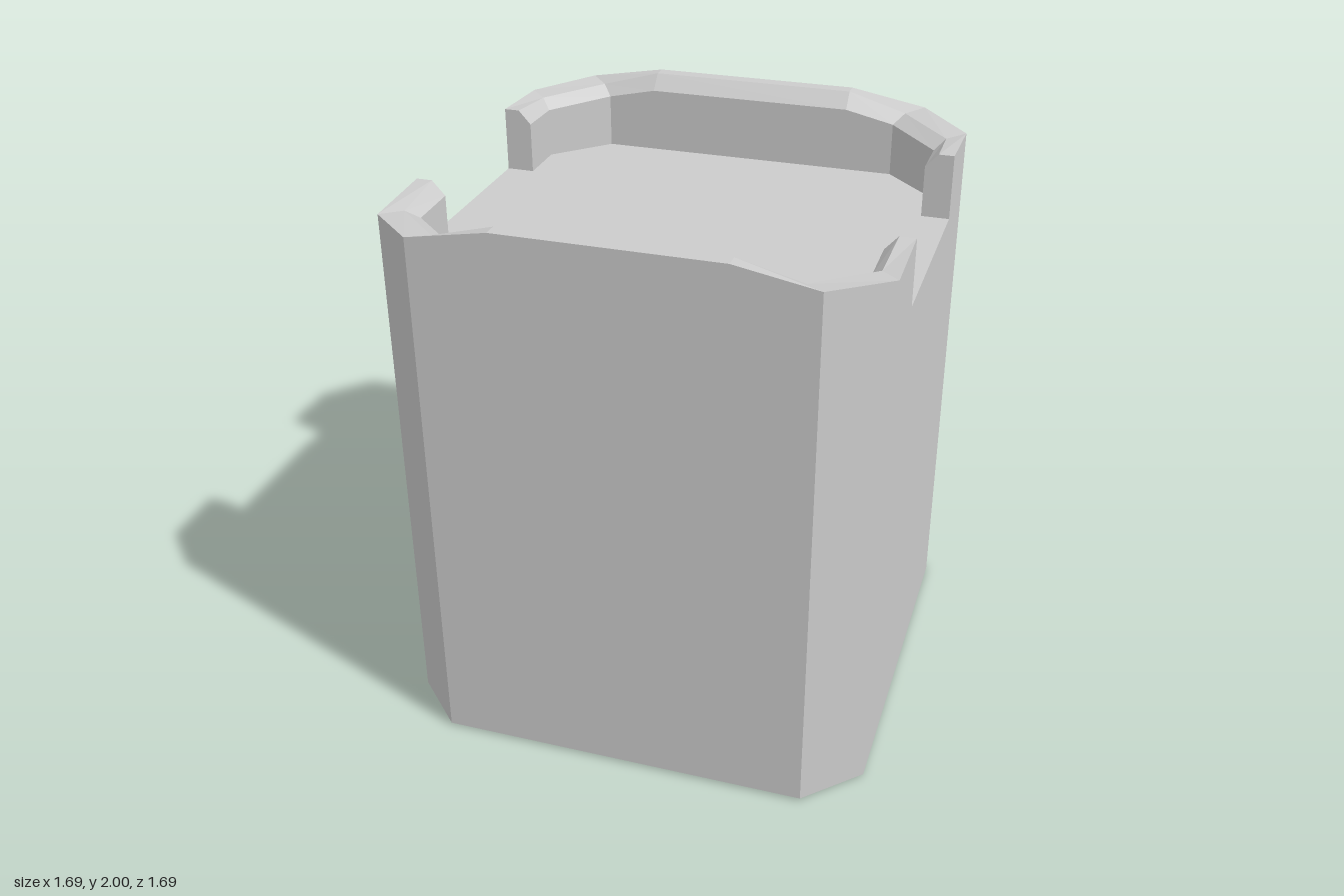
import * as THREE from 'three';

const FLOOR = 1.71;
const HALF = 0.845;
const CHAMFER = 0.66;

// Stations along half of one rim: outer edge, bevel top and bevel foot, each [x, y, z]
const HALF_RIM = [
  [[0.845, 1.945, 0.373], [0.79, 1.945, 0.373], [0.745, 1.895, 0.373]],
  [[0.845, 1.93, 0.66], [0.782, 1.925, 0.597], [0.745, 1.89, 0.56]],
  [[0.66, 1.95, 0.845], [0.597, 1.94, 0.785], [0.56, 1.905, 0.745]],
  [[0.38, 2.0, 0.845], [0.38, 2.0, 0.795], [0.38, 1.945, 0.745]],
];

// Sweeps the bevelled wall section through the stations and closes both ends
function rimGeometry() {
  const mirrored = HALF_RIM.map(s => s.map(([x, y, z]) => [-x, y, z])).reverse();
  const rings = [...HALF_RIM, ...mirrored].map(([outer, top, foot]) => [
    [outer[0], FLOOR, outer[2]], outer, top, foot, [foot[0], FLOOR, foot[2]],
  ]);
  const positions = [];
  const tri = (a, b, c) => positions.push(...a, ...b, ...c);
  for (let i = 0; i < rings.length - 1; i++) {
    for (let k = 0; k < 4; k++) {
      const a = rings[i][k], b = rings[i + 1][k];
      const c = rings[i + 1][k + 1], d = rings[i][k + 1];
      tri(a, d, c);
      tri(a, c, b);
    }
  }
  const first = rings[0], last = rings[rings.length - 1];
  for (let k = 1; k < 4; k++) {
    tri(first[0], first[k + 1], first[k]);
    tri(last[0], last[k], last[k + 1]);
  }
  const geometry = new THREE.BufferGeometry();
  geometry.setAttribute('position', new THREE.Float32BufferAttribute(positions, 3));
  geometry.computeVertexNormals();
  return geometry;
}

// Square block with chamfered corners and a very slightly tilted underside
function bodyGeometry() {
  const outline = [
    [HALF, -CHAMFER], [HALF, CHAMFER], [CHAMFER, HALF], [-CHAMFER, HALF],
    [-HALF, CHAMFER], [-HALF, -CHAMFER], [-CHAMFER, -HALF], [CHAMFER, -HALF],
  ].map(([x, y]) => new THREE.Vector2(x, y));
  const geometry = new THREE.ExtrudeGeometry(new THREE.Shape(outline), {
    depth: FLOOR, bevelEnabled: false,
  });
  geometry.rotateX(-Math.PI / 2);
  const p = geometry.attributes.position;
  for (let i = 0; i < p.count; i++) {
    if (p.getY(i) < 0.5) p.setY(i, 0.006 * (p.getZ(i) + HALF));
  }
  geometry.computeVertexNormals();
  return geometry;
}

export function createModel() {
  const model = new THREE.Group();
  model.name = 'notchedBlock';
  const material = new THREE.MeshStandardMaterial({ color: 0xcccccc, flatShading: true });

  const body = new THREE.Mesh(bodyGeometry(), material);
  body.name = 'body';
  model.add(body);

  // Matching raised rims, leaving a notch on each side
  const rim = rimGeometry();
  for (const [name, turn] of [['frontRim', 0], ['backRim', Math.PI]]) {
    const mesh = new THREE.Mesh(rim, material);
    mesh.name = name;
    mesh.rotation.y = turn;
    model.add(mesh);
  }
  return model;
}
